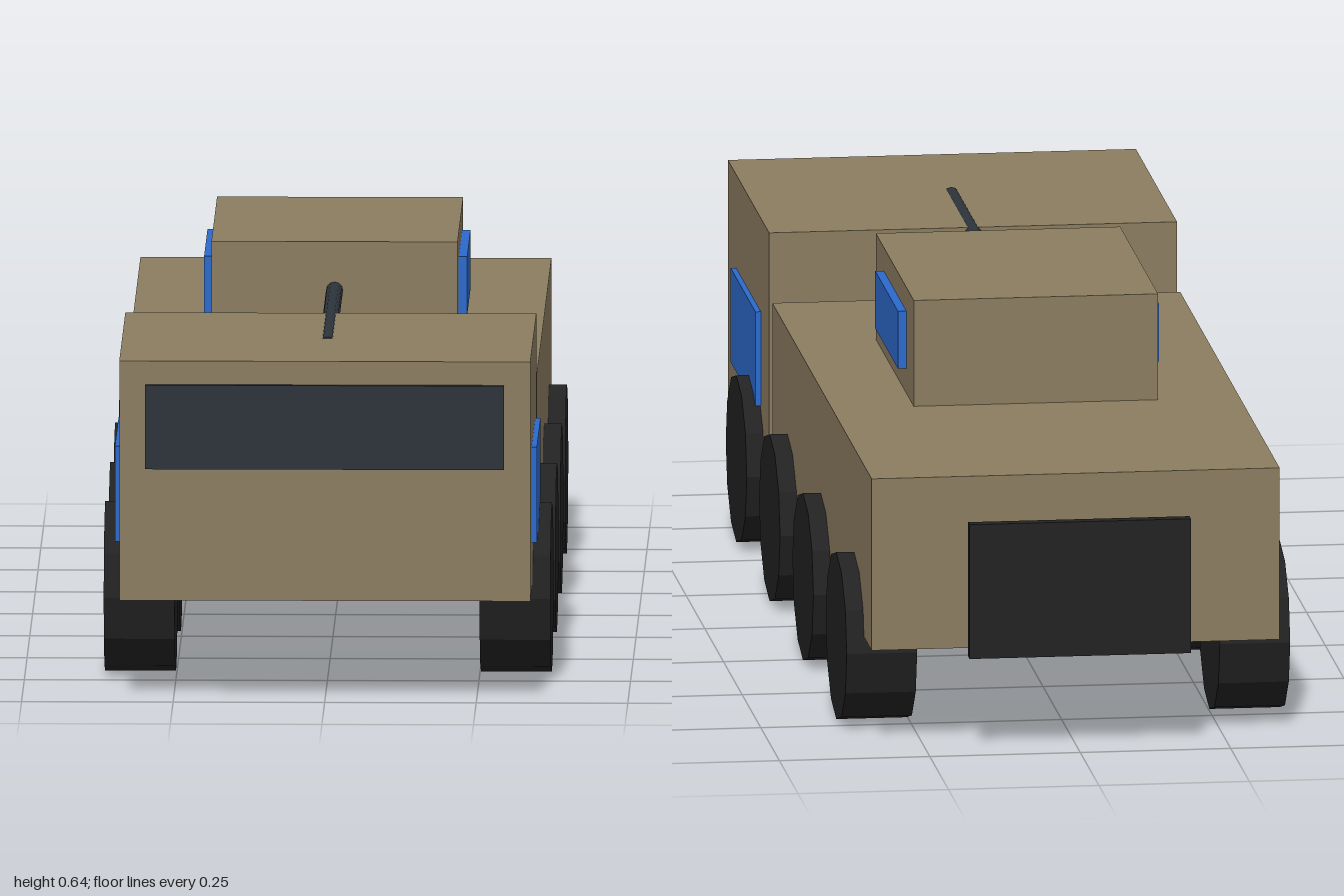
import * as THREE from 'three';

export function createModel() {
  const model = new THREE.Group();
  model.name = 'armouredVehicle';

  const material = (name, color) => {
    const m = new THREE.MeshStandardMaterial({ color });
    m.name = name;
    return m;
  };
  const sand = material('sandPaint', 0x8b7d60);
  const blue = material('bluePanel', 0x2d6acc);
  const glass = material('darkGlass', 0x2d343b);
  const black = material('blackRubber', 0x222222);
  black.flatShading = true;

  const add = (name, geometry, mat, x, y, z) => {
    const mesh = new THREE.Mesh(geometry, mat);
    mesh.name = name;
    mesh.position.set(x, y, z);
    model.add(mesh);
    return mesh;
  };
  // Box given by its lower and upper limits on each axis
  const box = (name, mat, [x0, x1], [y0, y1], [z0, z1]) =>
    add(name, new THREE.BoxGeometry(x1 - x0, y1 - y0, z1 - z0), mat,
      (x0 + x1) / 2, (y0 + y1) / 2, (z0 + z1) / 2);

  // Body: rear hull, separate cab and turret
  box('hull', sand, [-0.339, 0.339], [0.168, 0.458], [-0.938, 0.395]);
  box('cab', sand, [-0.339, 0.339], [0.168, 0.567], [0.438, 0.99]);
  box('turret', sand, [-0.203, 0.203], [0.458, 0.637], [-0.405, 0.104]);

  // Windscreen and the free-standing rear plate
  box('windscreen', glass, [-0.296, 0.296], [0.388, 0.528], [0.99, 1]);
  box('rearPlate', black, [-0.184, 0.184], [0.163, 0.39], [-1, -0.98]);

  // Gun barrel, half sunk into the cab roof
  const barrel = new THREE.CylinderGeometry(0.014, 0.014, 0.67, 12);
  barrel.rotateX(Math.PI / 2);
  add('gunBarrel', barrel, glass, 0, 0.556, 0.395);

  // Side panels and wheels, mirrored left and right
  const wheel = new THREE.CylinderGeometry(0.141, 0.141, 0.117, 12);
  wheel.rotateZ(Math.PI / 2);
  for (const [side, s] of [['left', 1], ['right', -1]]) {
    const span = (a, b) => (s > 0 ? [a, b] : [-b, -a]);
    box(side + 'CabPanel', blue, span(0.339, 0.348), [0.25, 0.409], [0.549, 0.881]);
    box(side + 'TurretPanel', blue, span(0.203, 0.217), [0.5, 0.597], [-0.306, -0.001]);
    for (let i = 0; i < 4; i++) {
      add(side + 'Wheel' + (i + 1), wheel, black, s * 0.31, 0.141, 0.64 - i * 0.447);
    }
  }
  return model;
}
